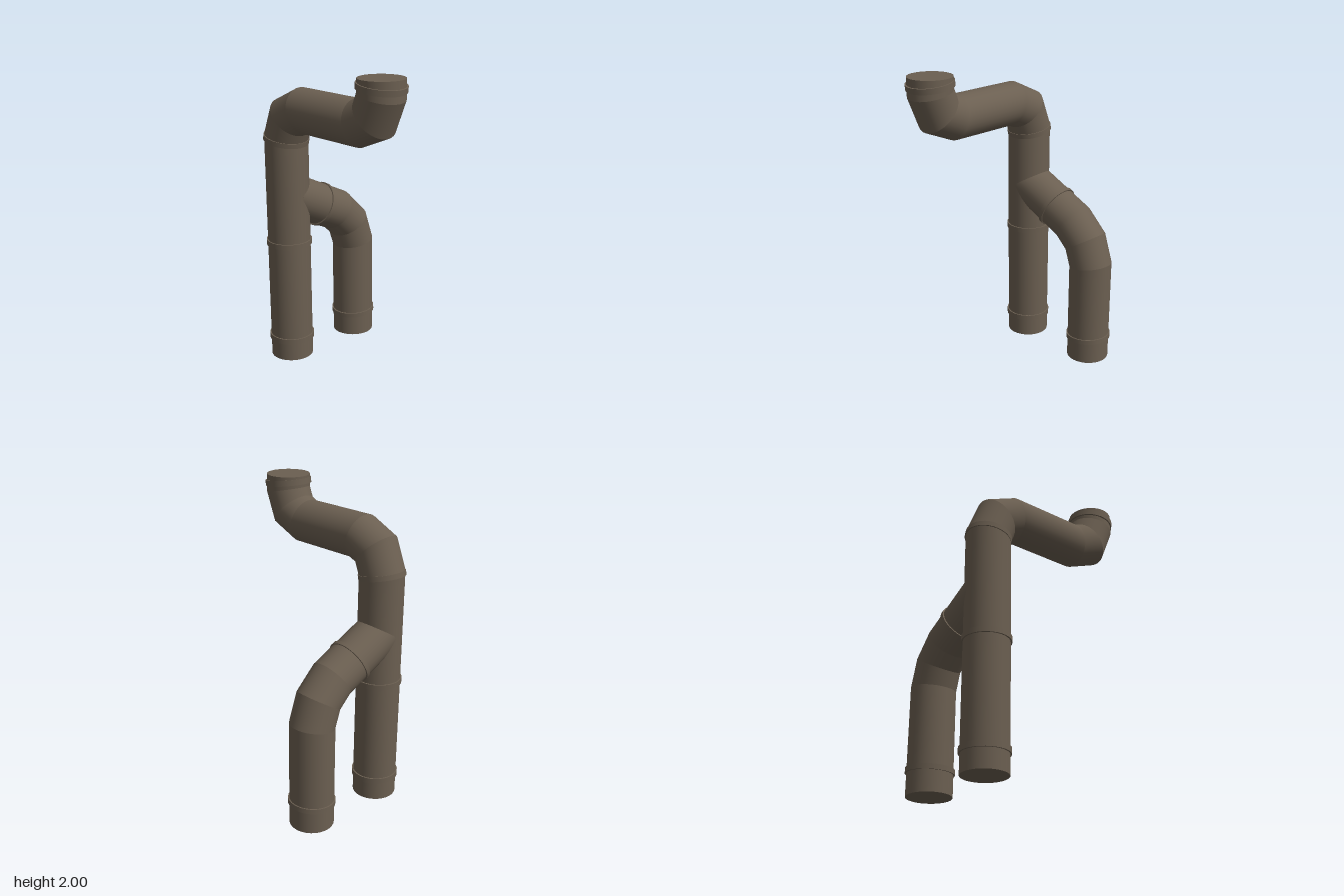
import * as THREE from 'three';

const SIDES = 32;
const R = 0.141;
const material = new THREE.MeshStandardMaterial({ color: 0x6b5f51 });
const v = (x, y, z) => new THREE.Vector3(x, y, z);

// Round pipe along a flat polyline with mitred joints; side is the normal of the bend plane
function mitredPipe(name, points, side) {
  const pos = [], nor = [], index = [];
  const dirs = points.slice(1).map((p, i) => p.clone().sub(points[i]).normalize());
  const add = (p, n) => pos.push(...p.toArray()) && nor.push(...n.toArray());

  dirs.forEach((d, s) => {
    const up = d.clone().cross(side);
    for (const end of [0, 1]) {
      const k = s + end;
      const plane = (dirs[k - 1] ?? d).clone().add(dirs[k] ?? d).normalize();
      const base = pos.length / 3;
      const ring = [];
      for (let i = 0; i <= SIDES; i++) {
        const a = (i / SIDES) * Math.PI * 2;
        const n = side.clone().multiplyScalar(Math.cos(a)).addScaledVector(up, Math.sin(a));
        const off = n.clone().multiplyScalar(R);
        off.addScaledVector(d, -off.dot(plane) / d.dot(plane));
        ring.push(off.add(points[k]));
        add(ring[i], n);
        if (end && i < SIDES) {
          const b = base + i, a0 = b - SIDES - 1;
          index.push(a0, a0 + 1, b + 1, a0, b + 1, b);
        }
      }
      ring.end = end;
      caps.push({ ring, k, d });
    }
  });

  // Flat discs closing both ends
  for (const { ring, k, d } of caps.splice(0)) {
    if (k !== 0 && k !== points.length - 1) continue;
    const n = d.clone().multiplyScalar(k ? 1 : -1);
    const c = pos.length / 3;
    add(points[k], n);
    ring.forEach((p) => add(p, n));
    for (let i = 1; i <= SIDES; i++) index.push(c, ...(k ? [c + i, c + i + 1] : [c + i + 1, c + i]));
  }

  const g = new THREE.BufferGeometry();
  g.setAttribute('position', new THREE.Float32BufferAttribute(pos, 3));
  g.setAttribute('normal', new THREE.Float32BufferAttribute(nor, 3));
  g.setIndex(index);
  const mesh = new THREE.Mesh(g, material);
  mesh.name = name;
  return mesh;
}
const caps = [];

// Raised collar around a pipe, turned to face along axis
function collar(name, center, axis, height, radius = 0.15) {
  const mesh = new THREE.Mesh(new THREE.CylinderGeometry(radius, radius, height, SIDES), material);
  mesh.name = name;
  mesh.position.copy(center);
  mesh.quaternion.setFromUnitVectors(v(0, 1, 0), axis.clone().normalize());
  return mesh;
}

export function createModel() {
  const group = new THREE.Group();
  group.name = 'drainPipe';
  const X = 0.43, Z = 0.285, BZ = -0.286;
  const up = v(0, 1, 0);

  // Main downpipe with two elbows and an upper inlet
  group.add(mitredPipe('mainPipe', [
    v(-X, 0, Z), v(-X, 1.525, Z), v(-0.375, 1.66, Z), v(-0.25, 1.718, Z),
    v(0.25, 1.718, Z), v(0.375, 1.77, Z), v(X, 1.9, Z), v(X, 2, Z),
  ], v(0, 0, 1)));

  // Side branch that drops behind the main pipe
  group.add(mitredPipe('branchPipe', [
    v(-X, 0, BZ), v(-X, 0.685, BZ), v(-X, 0.835, -0.236),
    v(-X, 0.945, -0.125), v(-X, 1.139, 0.275),
  ], v(1, 0, 0)));

  // Collars
  group.add(
    collar('lowerCollar', v(-X, 0.14, Z), up, 0.036),
    collar('middleCollar', v(-X, 0.82, Z), up, 0.034),
    collar('elbowCollar', v(-X, 1.515, Z), v(0.19, 1, 0), 0.032, 0.147),
    collar('inletCollar', v(X, 1.95, Z), v(0.12, 1, 0), 0.036),
    collar('branchLowerCollar', v(-X, 0.157, BZ), v(0, 1, 0.05), 0.032),
    collar('branchUpperCollar', v(-X, 1.017, 0.025), v(0, 0.486, 1), 0.026),
  );
  return group;
}
